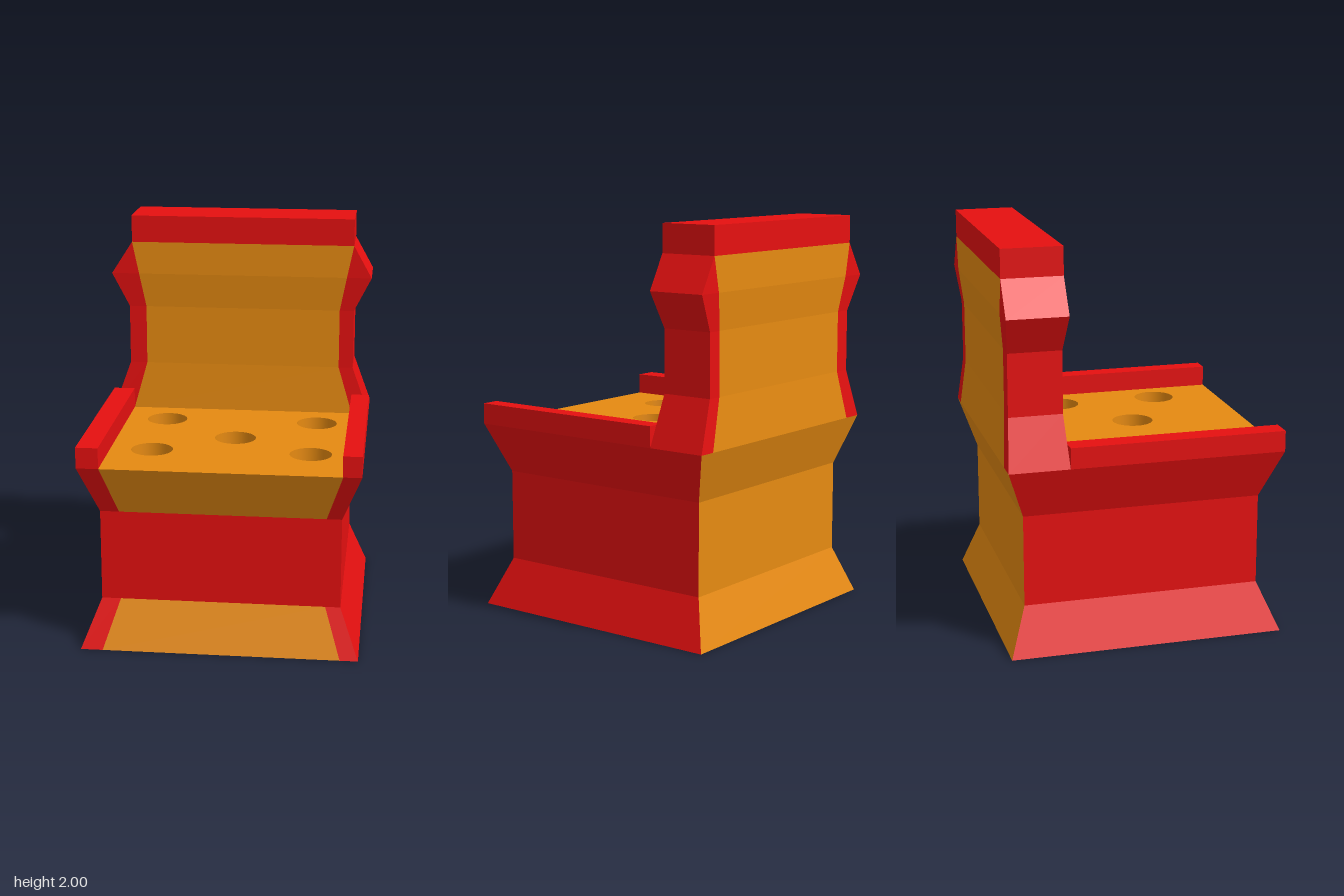
import * as THREE from 'three';

const RED = 0xe61010, ORANGE = 0xe68a11;

function material(color, side = THREE.FrontSide, flatShading = true) {
  return new THREE.MeshStandardMaterial({ color, side, flatShading });
}

function add(group, name, geometry, mat) {
  const mesh = new THREE.Mesh(geometry, mat);
  mesh.name = name;
  group.add(mesh);
  return mesh;
}

// Strip of quads between two edges, listed bottom to top, left and right as seen from outside
function panel(group, name, color, left, right) {
  const pos = [], index = [];
  left.forEach((p, i) => {
    pos.push(...p, ...right[i]);
    const a = i * 2;
    if (i) index.push(a - 2, a - 1, a + 1, a - 2, a + 1, a);
  });
  const geometry = new THREE.BufferGeometry();
  geometry.setAttribute('position', new THREE.Float32BufferAttribute(pos, 3));
  geometry.setIndex(index);
  const flat = geometry.toNonIndexed();
  flat.computeVertexNormals();
  add(group, name, flat, material(color));
}

function box(group, name, color, [x0, x1], [y0, y1], [z0, z1]) {
  const mesh = add(group, name, new THREE.BoxGeometry(x1 - x0, y1 - y0, z1 - z0), material(color));
  mesh.position.set((x0 + x1) / 2, (y0 + y1) / 2, (z0 + z1) / 2);
}

// Levels: y, outer x (-, +), inner x (-, +), front z, back z
const BASE = [
  [0, -0.69, 0.69, -0.58, 0.6, 0.69, -0.69],
  [0.24, -0.595, 0.595, -0.5, 0.52, 0.59, -0.605],
  [0.7, -0.595, 0.595, -0.5, 0.52, 0.59, -0.605],
  [0.95, -0.69, 0.69, -0.58, 0.6, 0.69, -0.69],
];
const BACK = [
  [0.95, -0.69, 0.69, -0.58, 0.6, -0.39, -0.69],
  [1.2, -0.6, 0.6, -0.51, 0.525, -0.405, -0.67],
  [1.51, -0.6, 0.6, -0.51, 0.525, -0.405, -0.67],
  [1.69, -0.69, 0.69, -0.545, 0.56, -0.39, -0.69],
  [1.86, -0.58, 0.595, -0.58, 0.595, -0.39, -0.69],
];
const edge = (levels, xi, zi) => levels.map((l) => [l[xi], l[0], l[zi]]);

function sides(group, name, levels) {
  panel(group, name + 'LeftSide', RED, edge(levels, 2, 5), edge(levels, 2, 6));
  panel(group, name + 'RightSide', RED, edge(levels, 1, 6), edge(levels, 1, 5));
}

// Coloured middle with a red border on each side
function framedFace(group, name, levels, front) {
  const z = front ? 5 : 6;
  const cols = front ? [1, 3, 4, 2] : [2, 4, 3, 1];
  [RED, ORANGE, RED].forEach((color, i) => {
    panel(group, name + ['BorderA', 'Cushion', 'BorderB'][i], color,
      edge(levels, cols[i], z), edge(levels, cols[i + 1], z));
  });
}

export function createModel() {
  const model = new THREE.Group();
  model.name = 'armchair';

  // Base
  const base = new THREE.Group();
  base.name = 'base';
  model.add(base);
  sides(base, 'base', BASE);
  framedFace(base, 'lowerFront', BASE.slice(0, 2), true);
  panel(base, 'middleFront', RED, edge(BASE.slice(1, 3), 1, 5), edge(BASE.slice(1, 3), 2, 5));
  framedFace(base, 'upperFront', BASE.slice(2), true);
  panel(base, 'baseBack', ORANGE, edge(BASE, 2, 6), edge(BASE, 1, 6));

  // Underside, red below the backrest
  const underside = (name, color, z0, z1) => panel(base, name, color,
    [[-0.69, 0, z0], [-0.69, 0, z1]], [[0.69, 0, z0], [0.69, 0, z1]]);
  underside('undersideRear', RED, -0.69, -0.39);
  underside('underside', ORANGE, -0.39, 0.69);

  // Seat with five round wells
  const seat = new THREE.Group();
  seat.name = 'seat';
  model.add(seat);
  const top = 0.95, radius = 0.105, depth = 0.2;
  const shape = new THREE.Shape([[-0.58, -0.69], [0.6, -0.69], [0.6, 0.39], [-0.58, 0.39]]
    .map(([x, y]) => new THREE.Vector2(x, y)));
  const wells = [[-0.37, -0.185], [0.425, -0.185], [0.025, 0.115], [-0.37, 0.35], [0.425, 0.35]];
  for (const [x, z] of wells) {
    shape.holes.push(new THREE.Path().absarc(x, -z, radius, 0, Math.PI * 2, true));
    const wall = add(seat, 'wellWall', new THREE.CylinderGeometry(radius, radius, depth, 32, 1, true),
      material(ORANGE, THREE.BackSide, false));
    wall.position.set(x, top - depth / 2, z);
    const floor = add(seat, 'wellFloor', new THREE.CircleGeometry(radius, 32).rotateX(-Math.PI / 2),
      material(ORANGE));
    floor.position.set(x, top - depth, z);
  }
  add(seat, 'seatTop', new THREE.ShapeGeometry(shape, 16).rotateX(-Math.PI / 2), material(ORANGE))
    .position.y = top;

  // Armrests
  box(model, 'rightArmrest', RED, [-0.69, -0.58], [0.95, 1.055], [-0.39, 0.69]);
  box(model, 'leftArmrest', RED, [0.597, 0.69], [0.95, 1.055], [-0.39, 0.69]);

  // Backrest and its top rail
  const backrest = new THREE.Group();
  backrest.name = 'backrest';
  model.add(backrest);
  sides(backrest, 'backrest', BACK);
  framedFace(backrest, 'backrestFront', BACK, true);
  framedFace(backrest, 'backrestRear', BACK, false);
  box(backrest, 'topRail', RED, [-0.58, 0.595], [1.86, 2], [-0.69, -0.39]);

  return model;
}
